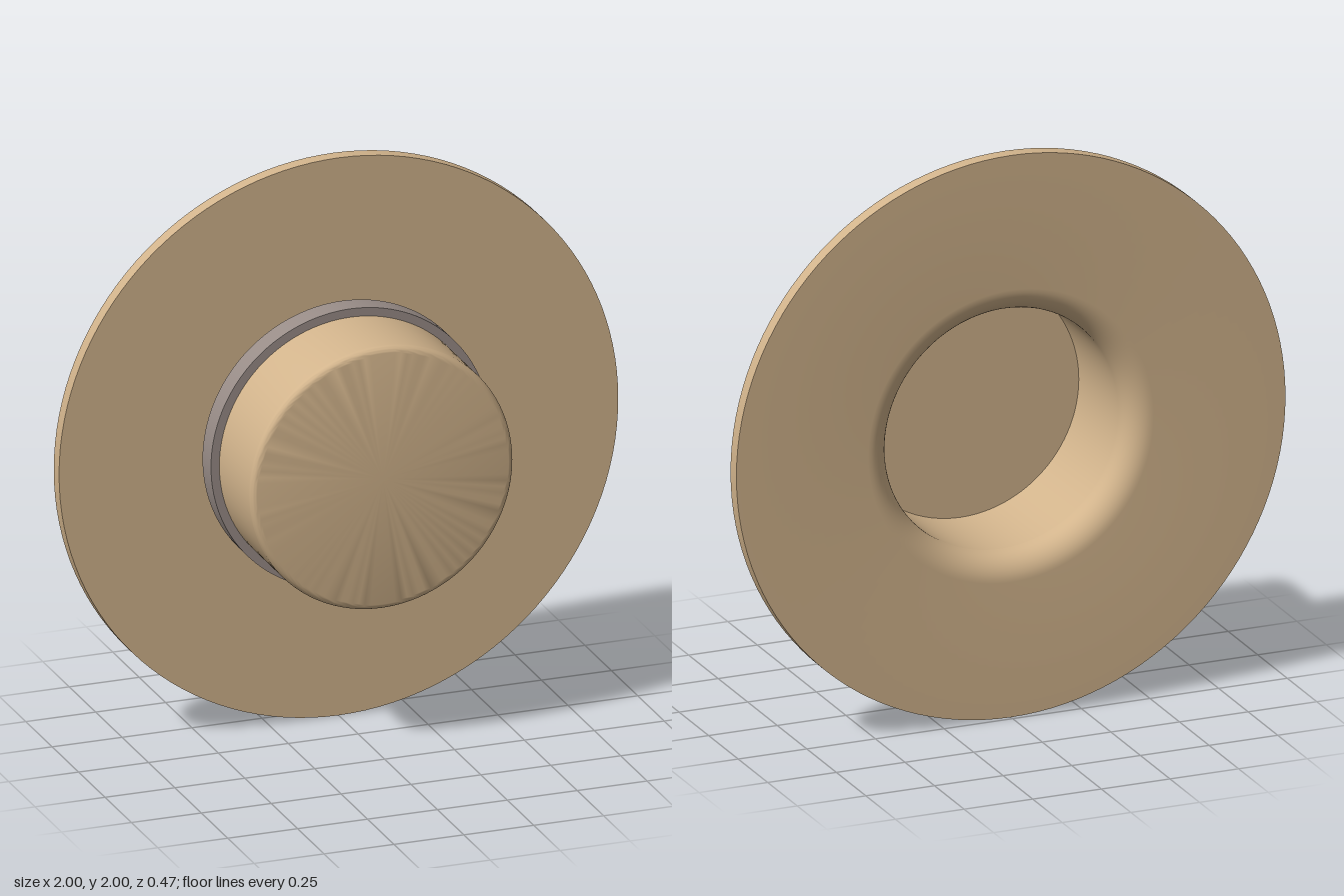
import * as THREE from 'three';
import { toCreasedNormals } from 'three/addons/utils/BufferGeometryUtils.js';

const TAN = 0xd2b48c, BAND = 0x998d88;
const BACK = -0.235, FRONT = 0.235, BRIM_FRONT = -0.185;
const OUTER = 0.47, INNER = 0.43, FILLET = 0.09, EDGE = 0.025;

// points along a quarter arc in the (radius, z) half-plane
function arc(cr, cz, radius, from, to, steps = 10) {
  return Array.from({ length: steps + 1 }, (_, i) => {
    const a = from + (to - from) * i / steps;
    return [cr + radius * Math.cos(a), cz + radius * Math.sin(a)];
  });
}

// revolve a (radius, z) profile around the z axis
function revolve(name, profile, color) {
  const lathe = new THREE.LatheGeometry(profile.map(([r, z]) => new THREE.Vector2(r, z)), 128);
  const mesh = new THREE.Mesh(
    toCreasedNormals(lathe.rotateX(Math.PI / 2), 0.6),
    new THREE.MeshStandardMaterial({ color }),
  );
  mesh.name = name;
  mesh.position.y = 1;
  return mesh;
}

export function createModel() {
  const hat = new THREE.Group();
  hat.name = 'hat';

  // flat brim with the rounded lip of the head opening
  const brim = [
    ...arc(INNER + FILLET, BACK + FILLET, FILLET, Math.PI, Math.PI * 1.5),
    [1, BACK], [1, BRIM_FRONT], [OUTER, BRIM_FRONT],
  ];

  // hollow crown: outer wall, softened edge, top, then the inside
  const crown = [
    [OUTER, BRIM_FRONT],
    ...arc(OUTER - EDGE, FRONT - EDGE, EDGE, 0, Math.PI / 2, 8),
    [0, FRONT], [0, 0.19], [INNER, 0.19], [INNER, BACK + FILLET],
  ];

  // hat band: a plain ring around the crown
  const band = [[OUTER, -0.15], [0.5, -0.15], [0.5, -0.07], [OUTER, -0.07]];

  hat.add(
    revolve('brim', brim, TAN),
    revolve('crown', crown, TAN),
    revolve('band', band, BAND),
  );
  return hat;
}
